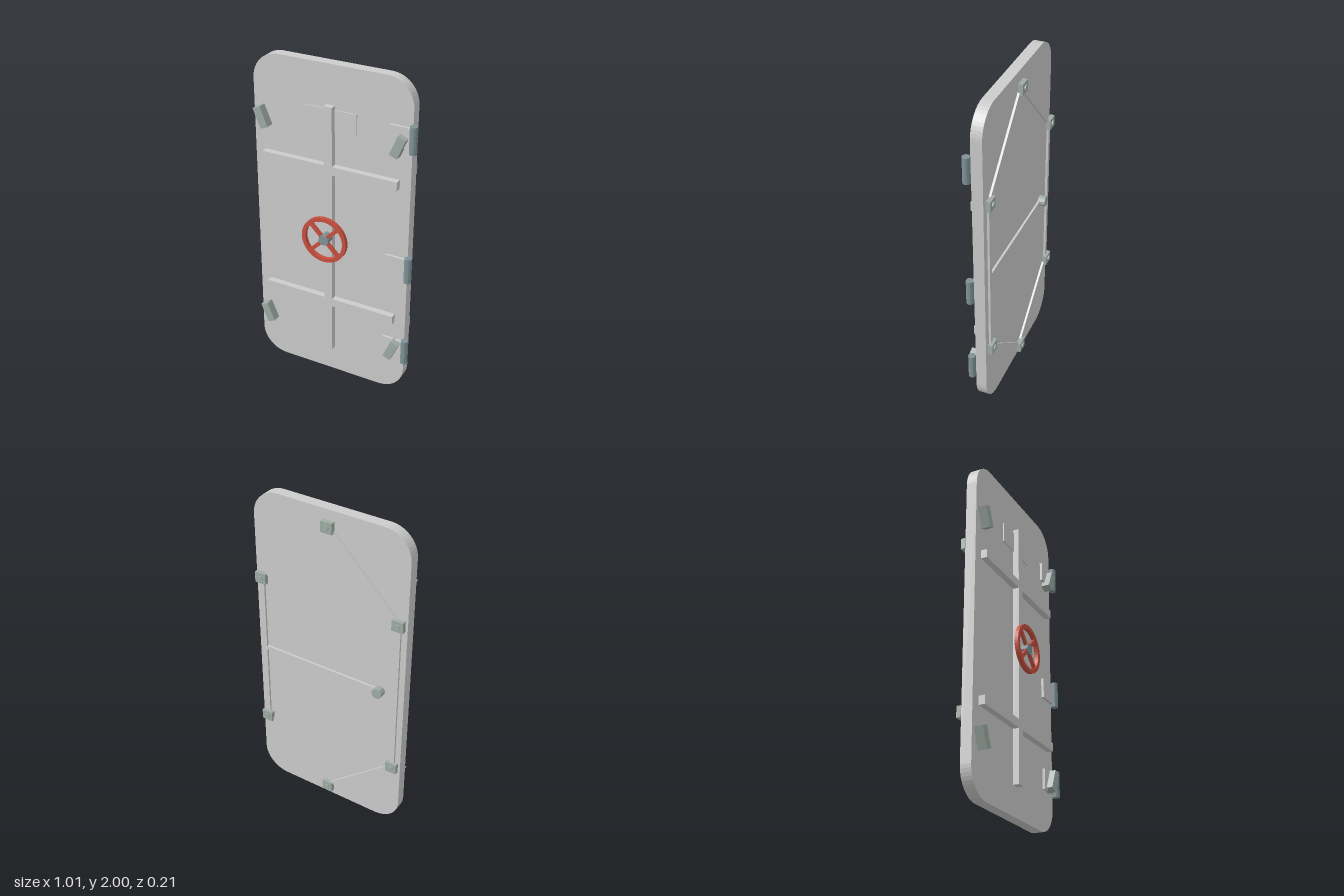
import * as THREE from 'three';

const mat = (color) => new THREE.MeshStandardMaterial({ color, flatShading: true });
const CX = -0.018;                 // door centre line
const FRONT = 0.009, BACK = -0.056; // door faces

export function createModel() {
  const root = new THREE.Group();
  root.name = 'bulkheadDoor';
  const grey = mat(0xcccccc), steel = mat(0xa0aca6), dark = mat(0x7f9296), red = mat(0xc8503f);

  const add = (name, geo, material, x, y, z, parent = root) => {
    const m = new THREE.Mesh(geo, material);
    m.name = name;
    m.position.set(x, y, z);
    parent.add(m);
    return m;
  };
  // box given by its x, y and z limits
  const block = (name, material, x0, x1, y0, y1, z0, z1) =>
    add(name, new THREE.BoxGeometry(x1 - x0, y1 - y0, z1 - z0), material,
      (x0 + x1) / 2, (y0 + y1) / 2, (z0 + z1) / 2);
  // cylinder lying along z
  const stub = (name, material, r, x, y, z0, z1, sides) =>
    add(name, new THREE.CylinderGeometry(r, r, z1 - z0, sides).rotateX(Math.PI / 2),
      material, x, y, (z0 + z1) / 2);

  // Door slab with rounded corners
  const w = 0.4875, r = 0.16;
  const slab = new THREE.Shape();
  slab.absarc(w - r, 2 - r, r, 0, Math.PI / 2);
  slab.absarc(r - w, 2 - r, r, Math.PI / 2, Math.PI);
  slab.absarc(r - w, r, r, Math.PI, Math.PI * 1.5);
  slab.absarc(w - r, r, r, Math.PI * 1.5, Math.PI * 2);
  slab.closePath();
  add('doorSlab', new THREE.ExtrudeGeometry(slab,
    { depth: FRONT - BACK, bevelEnabled: false, curveSegments: 6 }), grey, CX, 0, BACK);

  // Front stiffeners and plate
  block('verticalRib', grey, CX - 0.026, CX + 0.026, 0.172, 1.77, FRONT, 0.047);
  for (const y of [0.518, 1.393])
    block('crossRib', grey, CX - 0.422, CX + 0.422, y - 0.026, y + 0.026, FRONT, 0.047);
  block('namePlate', grey, CX - 0.16, CX + 0.16, 1.62, 1.745, FRONT, 0.017);

  // Hinges on the left edge
  for (const y of [0.312, 0.877, 1.675]) {
    block('hingeLeaf', grey, 0.335, 0.47, y - 0.061, y + 0.061, FRONT, 0.025);
    add('hingeBarrel', new THREE.CylinderGeometry(0.022, 0.022, 0.157, 12), dark, 0.481, y, 0.028);
  }

  // Tilted dogs near the corners
  for (const side of [-1, 1]) for (const y of [0.31, 1.628]) {
    const dog = add('dog', new THREE.BoxGeometry(0.05, 0.125, 0.052), steel,
      CX + side * 0.422, y, 0.035);
    dog.rotation.z = -side * 0.4;
  }

  // Handwheel: flat rim, four spokes, hub
  const wheel = new THREE.Group();
  wheel.name = 'handwheel';
  wheel.position.set(CX, 0.97, 0.077);
  root.add(wheel);
  const rim = new THREE.Shape().absarc(0, 0, 0.143, 0, Math.PI * 2);
  rim.holes.push(new THREE.Path().absarc(0, 0, 0.119, 0, Math.PI * 2, true));
  add('rim', new THREE.ExtrudeGeometry(rim,
    { depth: 0.023, bevelEnabled: false, curveSegments: 24 }), red, 0, 0, 0, wheel);
  for (const a of [1, -1])
    add('spokes', new THREE.BoxGeometry(0.25, 0.022, 0.016), red, 0, 0, 0.0115, wheel)
      .rotation.z = a * Math.PI / 4;
  stub('wheelHub', dark, 0.032, CX, 0.97, 0.045, 0.103, 10);

  // Back linkage: six pivots joined by flat rods
  const pivots = [[0, 1.91], [0.442, 1.457], [0.442, 0.452], [0, 0.076], [-0.442, 0.452], [-0.442, 1.457]]
    .map(([x, y]) => new THREE.Vector2(CX + x, y));
  const rod = (name, a, b) => {
    const d = b.clone().sub(a);
    const m = add(name, new THREE.BoxGeometry(d.length(), 0.026, 0.013), grey,
      (a.x + b.x) / 2, (a.y + b.y) / 2, -0.0675);
    m.rotation.z = d.angle();
  };
  pivots.forEach((p, i) => {
    rod('linkRod', p, pivots[(i + 1) % 6]);
    block('pivotBlock', steel, p.x - 0.035, p.x + 0.035, p.y - 0.033, p.y + 0.033, -0.091, -0.064);
    stub('pivotPin', steel, 0.016, p.x, p.y, -0.099, BACK, 10);
  });

  // Inside lever with its round grip
  rod('leverBar', new THREE.Vector2(-0.355, 0.97), new THREE.Vector2(CX + 0.442, 0.97));
  stub('leverGrip', steel, 0.032, -0.355, 0.97, -0.103, -0.06, 10);

  return root;
}
